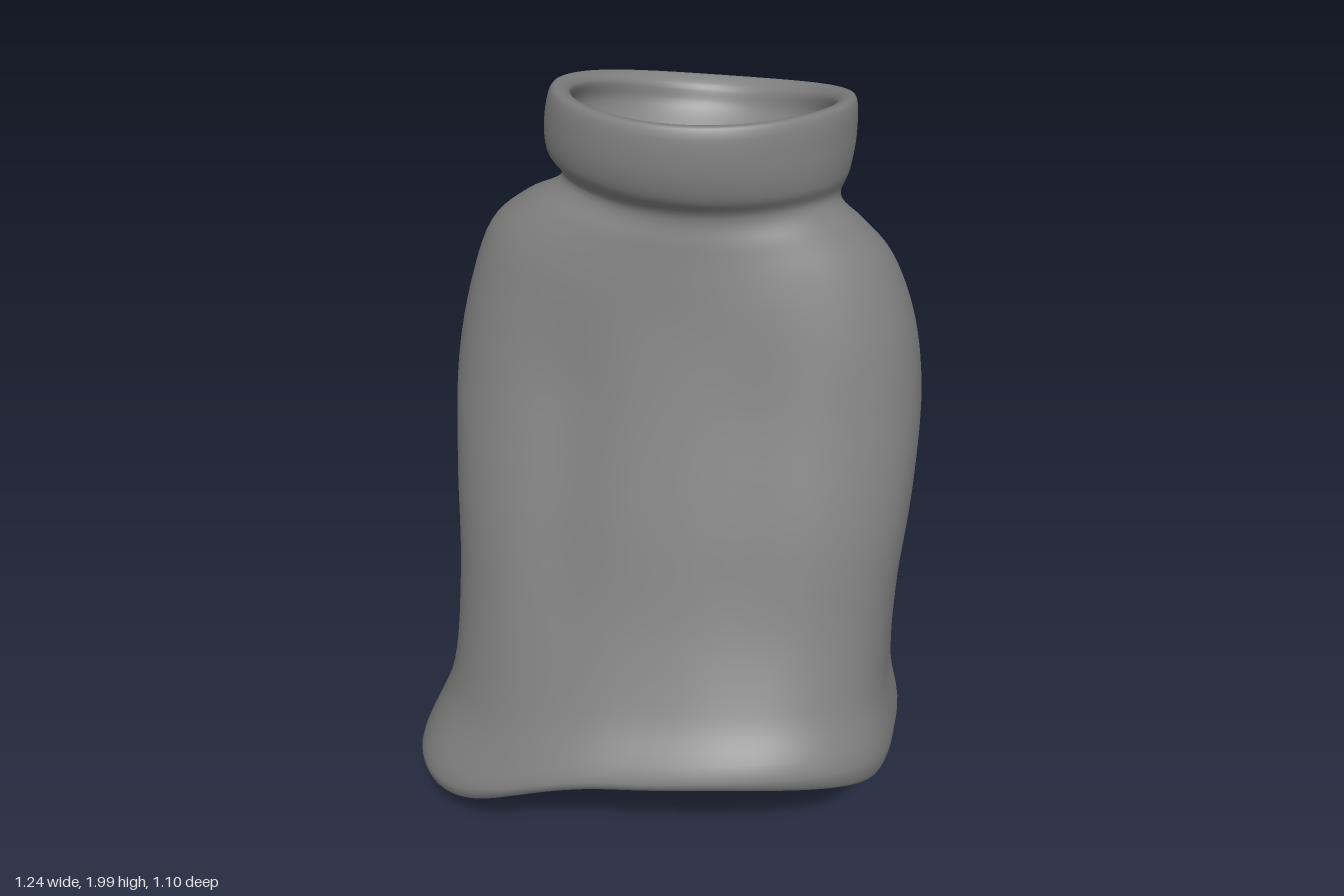
import * as THREE from 'three';

// Rings from hem to collar rim: [x right, x left, z front, z back,
// y front, y back, y right, y left, squareness front, squareness back]
const OUTER = [
  [-0.60, 0.59, 0.52, -0.20, 0.45, 0.015, 0.13, 0.30, 2.5, 3.2],
  [-0.625, 0.62, 0.55, -0.285, 0.49, 0.09, 0.20, 0.38, 2.5, 3.6],
  [-0.54, 0.59, 0.465, -0.30, 0.62, 0.33, 0.44, 0.54, 2.6, 3],
  [-0.52, 0.585, 0.38, -0.325, 0.80, 0.65, 0.72, 0.76, 2.6, 2.6],
  [-0.53, 0.60, 0.30, -0.37, 1.05, 1.00, 1.02, 1.03, 2.6, 2.3],
  [-0.535, 0.595, 0.22, -0.415, 1.30, 1.25, 1.26, 1.27, 2.5, 2.1],
  [-0.50, 0.56, 0.165, -0.405, 1.50, 1.40, 1.46, 1.46, 2.4, 2.05],
  [-0.445, 0.495, 0.14, -0.395, 1.62, 1.50, 1.61, 1.61, 2.2, 2],
  [-0.36, 0.425, 0.125, -0.385, 1.70, 1.55, 1.685, 1.685, 2.1, 2],
  [-0.275, 0.37, 0.115, -0.39, 1.77, 1.60, 1.735, 1.735, 2, 2],
  [-0.31, 0.385, 0.155, -0.46, 1.83, 1.70, 1.80, 1.79, 2, 2],
  [-0.318, 0.392, 0.17, -0.53, 1.91, 1.77, 1.87, 1.87, 2, 2],
  [-0.30, 0.38, 0.155, -0.55, 1.995, 1.83, 1.935, 1.945, 2, 2],
];

const bump = (v, centre, width) => Math.exp(-(((v - centre) / width) ** 2));
const { smoothstep, clamp, lerp } = THREE.MathUtils;

// The lining repeats the outer rings, moved inward by the wall, thickest at the neck
const inset = ([xr, xl, zf, zb, yf, yb, yr, yl, nf, nb], i) => {
  const wall = 0.038 + 0.03 * bump(i, 9, 1.3);
  const dy = i === 0 ? 0.025 : i === OUTER.length - 1 ? -0.015 : 0;
  return [xr + wall, xl - wall, zf - wall, zb + wall, yf + dy, yb + dy, yr + dy, yl + dy, nf, nb];
};
const RINGS = [...OUTER, ...OUTER.map(inset).reverse()];

function ringPoint([xr, xl, zf, zb, yf, yb, yr, yl, nf, nb], angle) {
  const c = Math.cos(angle), s = Math.sin(angle);
  const k = (v) => Math.sign(v) * Math.abs(v) ** (2 / (s > 0 ? nf : nb));
  const x = (xr + xl) / 2 + (xl - xr) / 2 * k(c);
  const z = (zf + zb) / 2 + (zf - zb) / 2 * k(s);
  const y = c * c * (yr + yl) / 2 + s * s * (yf + yb) / 2 + (yl - yr) / 2 * c + (yf - yb) / 2 * s;
  return new THREE.Vector3(x, y, z);
}

// Soft cloth folds and the uneven sag of the hem
function addFolds(p, angle) {
  const { x, y } = p;
  const upper = 1 - smoothstep(y, 1.3, 1.6);
  const t = clamp((y - 0.4) / 1.1, 0, 1);
  // Furrow in the back that forks downwards, with a shallow one beside it
  const fork = Math.max(bump(x, lerp(0.17, 0.05, t), 0.1), bump(x, lerp(-0.33, -0.02, t), 0.09) * 0.8);
  const furrows = 0.09 * fork + 0.025 * bump(x, 0.4, 0.07);
  const back = Math.max(0, -Math.sin(angle)) ** 0.5;
  p.z += back * furrows * upper * smoothstep(y, 0.05, 0.5);
  // Shallow dents in the front
  const dents = 0.022 * bump(x, -0.2, 0.11) + 0.012 * bump(x, 0.25, 0.1);
  p.z -= Math.max(0, Math.sin(angle)) * dents * upper * smoothstep(y, 0.5, 1);
  // Hem sags at the right front and left back, lifts at the right back
  const sag = -0.1 * bump(angle, 2.25, 0.55) + 0.04 * bump(angle, 3.9, 0.4) - 0.05 * bump(angle, 5.3, 0.4);
  p.y += sag * (1 - smoothstep(y, 0.45, 0.9));
  return p;
}

function garmentGeometry(around = 120, along = 150) {
  const positions = [], index = [];
  for (let i = 0; i < around; i++) {
    const angle = (i / around) * Math.PI * 2;
    const section = new THREE.CatmullRomCurve3(RINGS.map((r) => ringPoint(r, angle)), true);
    for (let j = 0; j < along; j++) {
      positions.push(...addFolds(section.getPoint(j / along), angle).toArray());
      const a = i * along + j, up = i * along + (j + 1) % along;
      const b = ((i + 1) % around) * along + j, bUp = ((i + 1) % around) * along + (j + 1) % along;
      index.push(a, up, b, up, bUp, b);
    }
  }
  const geometry = new THREE.BufferGeometry();
  geometry.setAttribute('position', new THREE.Float32BufferAttribute(positions, 3));
  geometry.setIndex(index);
  geometry.computeVertexNormals();
  return geometry;
}

export function createModel() {
  const group = new THREE.Group();
  group.name = 'cape';
  // Body, rolled hem, neck and collar are one continuous cloth shell
  const cloth = new THREE.Mesh(garmentGeometry(), new THREE.MeshStandardMaterial({ color: 0x808080 }));
  cloth.name = 'clothShell';
  group.add(cloth);
  return group;
}
